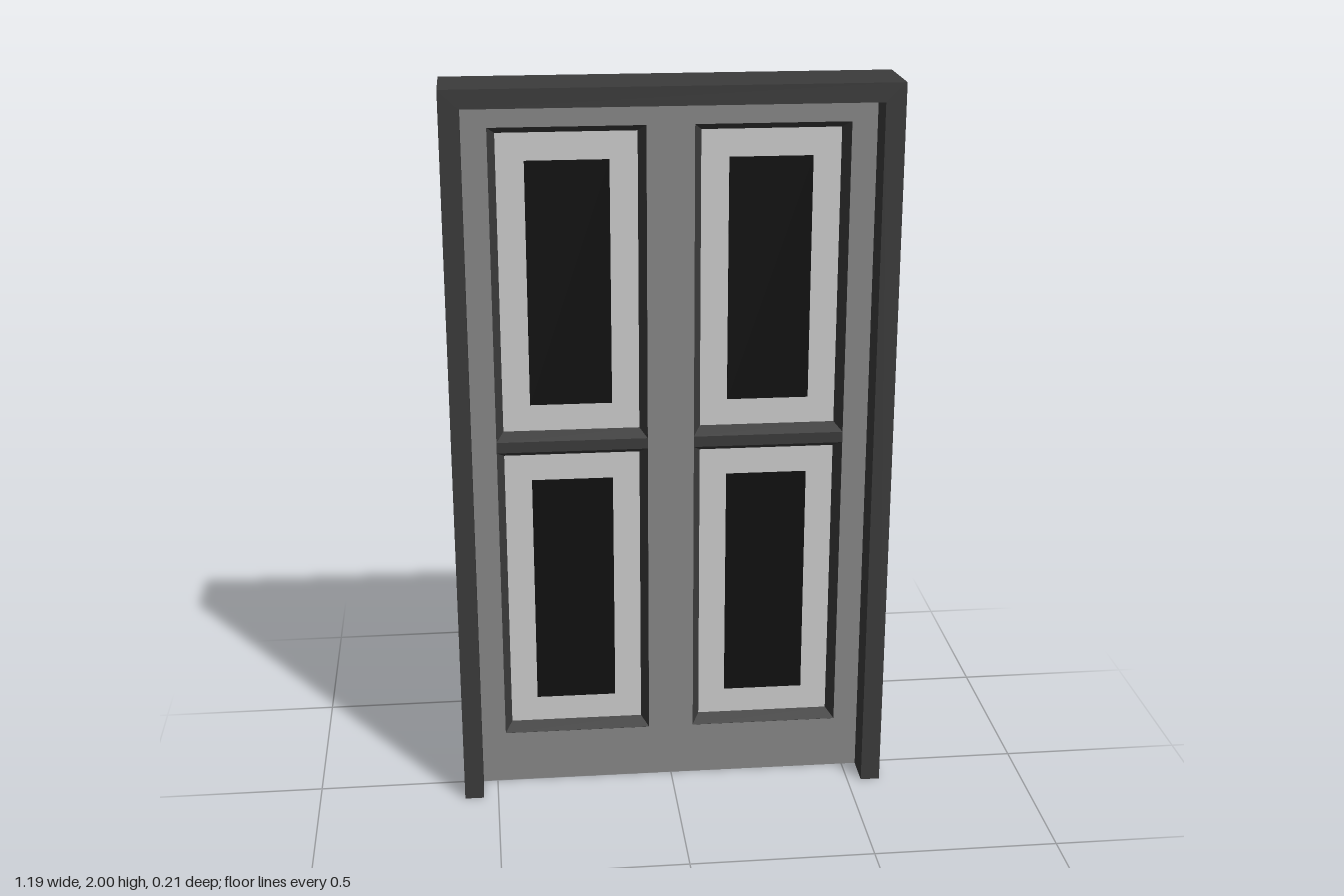
import * as THREE from 'three';

const mat = (color, side = THREE.FrontSide) => new THREE.MeshStandardMaterial({ color, side, flatShading: true });

function mesh(name, geometry, material, x = 0, y = 0, z = 0) {
  const m = new THREE.Mesh(geometry, material);
  m.name = name;
  m.position.set(x, y, z);
  return m;
}

const rect = (Type, x0, y0, x1, y1) => {
  const s = new Type();
  s.moveTo(x0, y0).lineTo(x1, y0).lineTo(x1, y1).lineTo(x0, y1).closePath();
  return s;
};

// Sloped four-sided ring from an outer rectangle at z0 to an inner one at z1
function bevelRing(w, h, inset, z0, z1) {
  const corners = [[-1, -1], [1, -1], [1, 1], [-1, 1]];
  const pos = [], idx = [];
  for (const [d, z] of [[0, z0], [inset, z1]])
    for (const [sx, sy] of corners) pos.push(sx * (w / 2 - d), sy * (h / 2 - d), z);
  for (let i = 0; i < 4; i++) {
    const j = (i + 1) % 4;
    idx.push(i, j, j + 4, i, j + 4, i + 4);
  }
  const g = new THREE.BufferGeometry();
  g.setAttribute('position', new THREE.Float32BufferAttribute(pos, 3));
  g.setIndex(idx);
  g.computeVertexNormals();
  return g;
}

export function createModel() {
  const root = new THREE.Group();
  root.name = 'panelledDoor';

  const dark = mat(0x3b3b3b), darkThin = mat(0x3b3b3b, THREE.DoubleSide);
  const grey = mat(0x868686), light = mat(0xcccccc), glassMat = mat(0x101010);

  const W = 0.593, IN = 0.54, TOP = 1.95, D = 0.1;
  const leafFront = 0.003, leafBack = -0.08;
  const panelFront = leafFront - 0.035, panelBack = leafBack + 0.02;
  const colX = 0.268, colW = 0.41, bevel = 0.02;
  const rows = [[0.15, 1.0], [1.03, 1.885]];

  // Surround: two jambs and a head, open at the floor
  const u = new THREE.Shape();
  u.moveTo(-W, 0).lineTo(-IN, 0).lineTo(-IN, TOP).lineTo(IN, TOP).lineTo(IN, 0)
    .lineTo(W, 0).lineTo(W, 2).lineTo(-W, 2).closePath();
  root.add(mesh('doorFrame', new THREE.ExtrudeGeometry(u, { depth: 2 * D, bevelEnabled: false }), dark, 0, 0, -D));

  // Leaf with one tall opening per column
  const leaf = rect(THREE.Shape, -IN, 0, IN, TOP);
  for (const s of [-1, 1])
    leaf.holes.push(rect(THREE.Path, s * colX - colW / 2, rows[0][0], s * colX + colW / 2, rows[1][1]));
  const thick = leafFront - leafBack;
  root.add(mesh('doorLeaf', new THREE.ExtrudeGeometry(leaf, { depth: thick, bevelEnabled: false }), dark, 0, 0, leafBack));
  root.add(mesh('leafFrontFace', new THREE.ShapeGeometry(leaf), grey, 0, 0, leafFront + 0.001));

  for (const s of [-1, 1]) {
    const x = s * colX;
    // Bar between the upper and lower panels
    root.add(mesh('middleRail', new THREE.BoxGeometry(colW, rows[1][0] - rows[0][1], thick), dark,
      x, (rows[0][1] + rows[1][0]) / 2, (leafFront + leafBack) / 2));

    for (const [y0, y1] of rows) {
      const h = y1 - y0, y = (y0 + y1) / 2;
      const pw = colW - 2 * bevel, ph = h - 2 * bevel;
      const panel = new THREE.Group();
      panel.name = 'panel';
      panel.position.set(x, y, 0);

      // Sloped mouldings on both sides
      panel.add(mesh('frontMoulding', bevelRing(colW, h, bevel, leafFront, panelFront), darkThin));
      panel.add(mesh('backMoulding', bevelRing(colW, h, bevel, leafBack, panelBack), darkThin));

      // Light front board, dark back board
      const t = (panelFront - panelBack) / 2;
      panel.add(mesh('frontBoard', new THREE.BoxGeometry(pw, ph, t), light, 0, 0, panelFront - t / 2));
      panel.add(mesh('backBoard', new THREE.BoxGeometry(pw, ph, t), dark, 0, 0, panelBack + t / 2));

      // Pane standing just proud of both boards
      panel.add(mesh('windowPane', new THREE.BoxGeometry(0.222, ph - 0.148, 2 * t + 0.006), glassMat,
        0, 0, (panelFront + panelBack) / 2));
      root.add(panel);
    }
  }

  // Slight turn about the vertical
  root.rotation.y = -0.0065;
  const model = new THREE.Group();
  model.name = 'door';
  model.add(root);
  return model;
}
